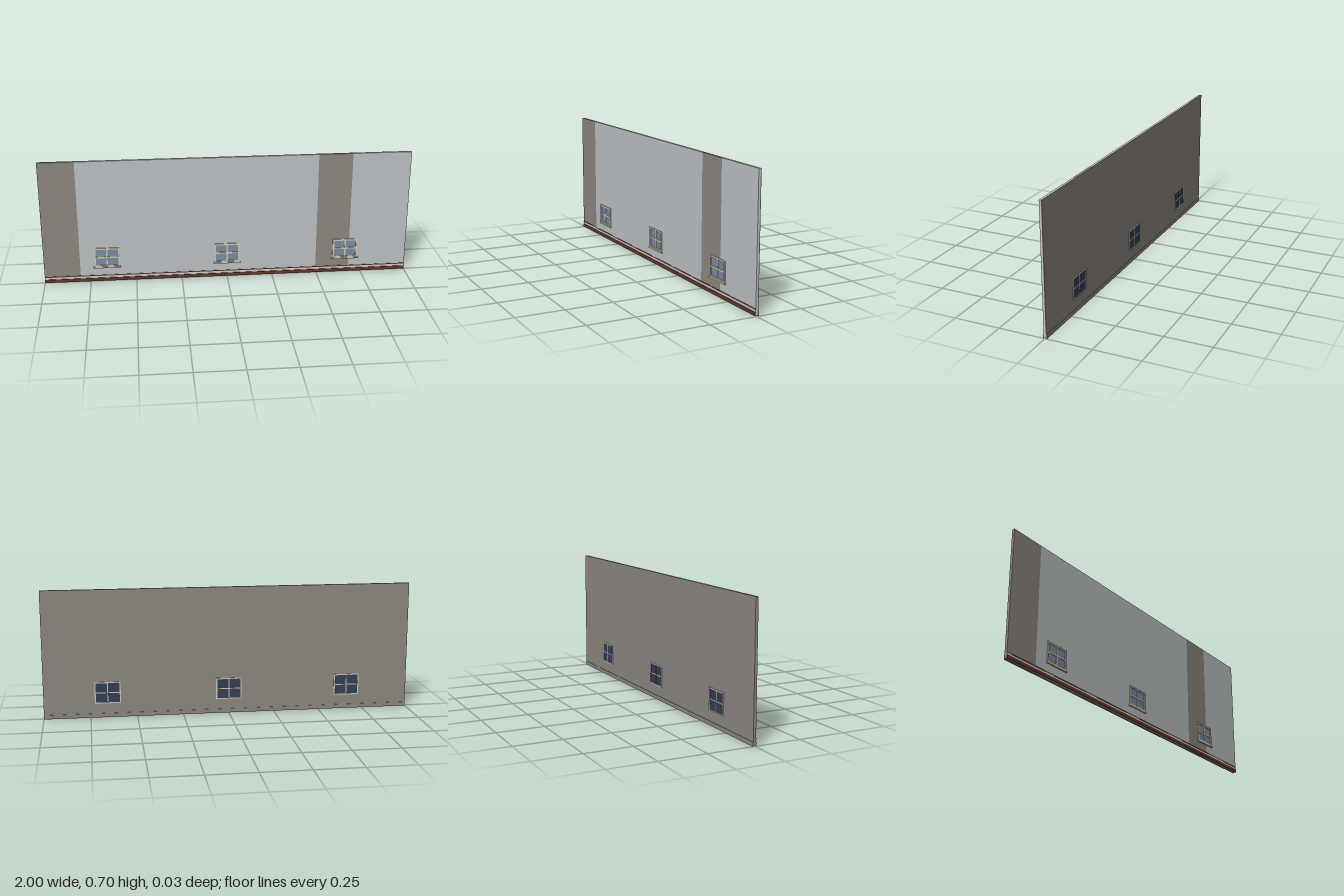
import * as THREE from 'three';

const mat = (name, color, extra = {}) => new THREE.MeshStandardMaterial({ name, color, ...extra });

export function createModel() {
  const lightPaint = mat('lightGreyPaint', 0xbfc4c7);
  const taupe = mat('taupePaint', 0x8f8982);
  const wood = mat('redBrownWood', 0x63392e);
  const pale = mat('paleStrip', 0xd2cdc6);
  const cream = mat('creamFrame', 0xd2c9b2);
  const glass = mat('blueGlass', 0x7b8fa8);
  const darkGlass = mat('darkGlass', 0x343f59);

  const model = new THREE.Group();
  model.name = 'wallSection';

  // Box given by its limits on each axis
  const box = (parent, name, material, x0, x1, y0, y1, z0, z1) => {
    const mesh = new THREE.Mesh(new THREE.BoxGeometry(x1 - x0, y1 - y0, z1 - z0), material);
    mesh.position.set((x0 + x1) / 2, (y0 + y1) / 2, (z0 + z1) / 2);
    mesh.name = name;
    parent.add(mesh);
    return mesh;
  };

  // Front of the wall in alternating painted panels, with one skin behind
  const H = 0.697;
  [
    [-1, -0.805, taupe],
    [-0.805, 0.495, lightPaint],
    [0.495, 0.68, taupe],
    [0.68, 1, lightPaint],
  ].forEach(([x0, x1, m]) => box(model, 'frontPanel', m, x0, x1, 0.004, H, -0.005, 0.0055));
  box(model, 'backSkin', taupe, -1, 1, 0.002, H, -0.009, -0.005);

  // Skirting and trim lines
  box(model, 'frontSkirting', wood, -1, 1, 0.003, 0.021, 0.0055, 0.0095);
  box(model, 'paleStrip', pale, -1, 1, 0.021, 0.033, 0.0055, 0.006);
  box(model, 'trimLine', wood, -1, 1, 0.033, 0.038, 0.0055, 0.0075);
  box(model, 'backSkirting', taupe, -1, 1, 0, 0.022, -0.0115, -0.009);

  // Frame of four bars and a cross, between two depths
  const frame = (parent, name, hw, y0, y1, bar, z0, z1) => {
    const mid = (y0 + y1) / 2;
    const half = bar * 0.4;
    const inset = 0.001;
    for (const s of [-1, 1]) {
      const a = s * hw, b = s * (hw - bar);
      box(parent, name + 'Side', cream, Math.min(a, b), Math.max(a, b), y0, y1, z0, z1);
    }
    box(parent, name + 'Bottom', cream, -hw + bar, hw - bar, y0, y0 + bar, z0, z1);
    box(parent, name + 'Top', cream, -hw + bar, hw - bar, y1 - bar, y1, z0, z1);
    const c0 = z0 < 0 ? z0 + inset : z0, c1 = z0 < 0 ? z1 : z1 - inset;
    box(parent, name + 'Mullion', cream, -half, half, y0 + bar, y1 - bar, c0, c1);
    for (const [a, b] of [[-hw + bar, -half], [half, hw - bar]]) {
      box(parent, name + 'Rail', cream, a, b, mid - half, mid + half, c0, c1);
    }
  };

  // Three windows, glazed on both faces
  for (const x of [-0.658, 0, 0.658]) {
    const win = new THREE.Group();
    win.name = 'window';
    win.position.x = x;
    box(win, 'frontGlass', glass, -0.062, 0.062, 0.092, 0.195, 0.0055, 0.0065);
    frame(win, 'frontFrame', 0.07, 0.087, 0.199, 0.0095, 0.0055, 0.0105);
    box(win, 'sill', cream, -0.075, 0.075, 0.081, 0.089, 0.0055, 0.0135);
    box(win, 'backGlass', darkGlass, -0.066, 0.066, 0.08, 0.192, -0.010, -0.009);
    frame(win, 'backFrame', 0.07, 0.077, 0.195, 0.006, -0.0125, -0.009);
    model.add(win);
  }
  return model;
}
